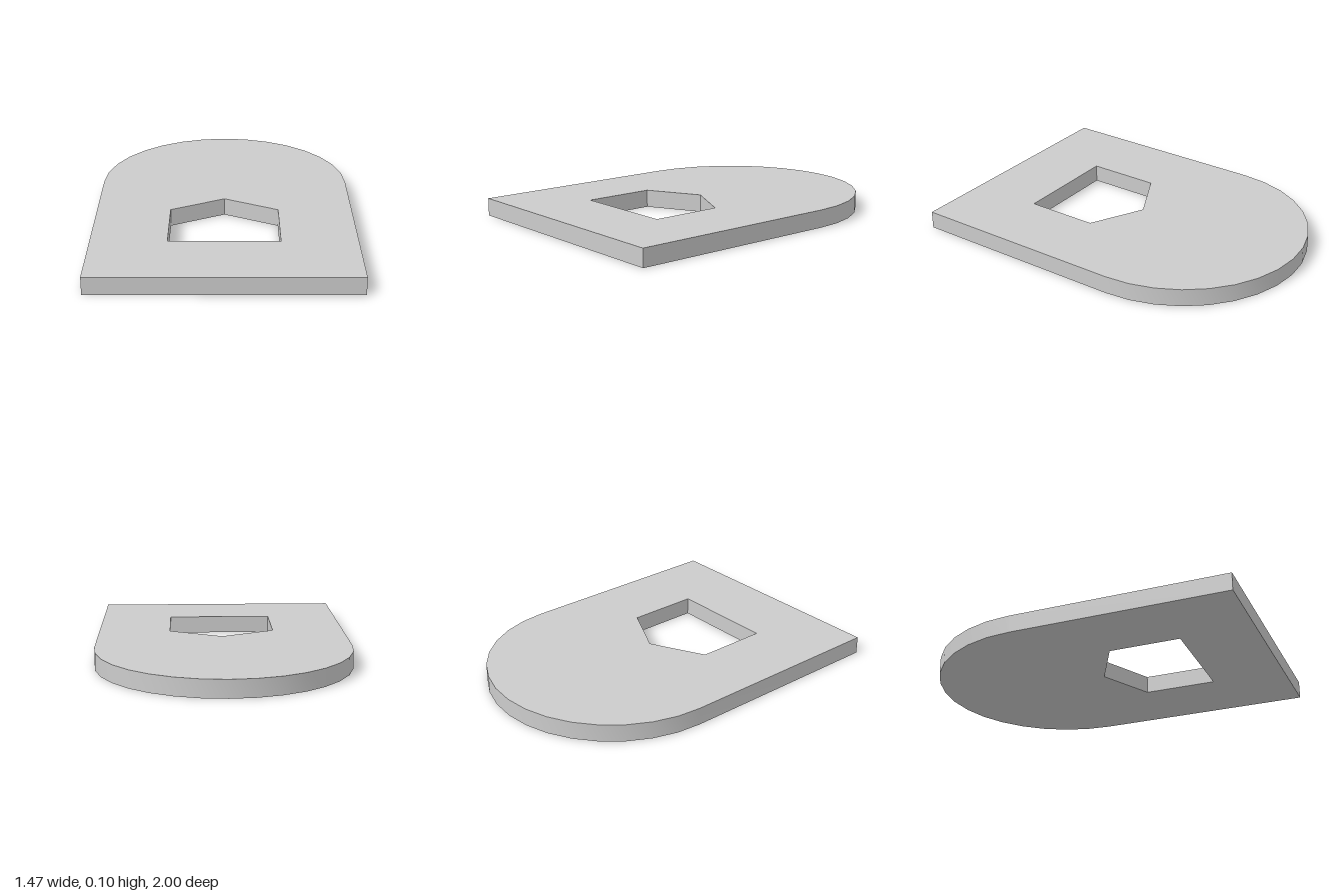
import * as THREE from 'three';
import { toCreasedNormals } from 'three/addons/utils/BufferGeometryUtils.js';

const HALF_WIDTH = 0.735;
const THICKNESS = 0.102;

export function createModel() {
  const group = new THREE.Group();
  group.name = 'archedPlate';

  // Plate outline: square front edge, half-round back (shape y becomes -z)
  const outline = new THREE.Shape();
  outline.moveTo(-HALF_WIDTH, -1);
  outline.lineTo(HALF_WIDTH, -1);
  outline.lineTo(HALF_WIDTH, 1 - HALF_WIDTH);
  outline.absarc(0, 1 - HALF_WIDTH, HALF_WIDTH, 0, Math.PI, false);
  outline.closePath();

  // House-shaped cutout
  const cutout = new THREE.Path();
  cutout.moveTo(-0.31, -0.575);
  cutout.lineTo(-0.31, -0.157);
  cutout.lineTo(0, 0);
  cutout.lineTo(0.31, -0.157);
  cutout.lineTo(0.31, -0.575);
  cutout.closePath();
  outline.holes.push(cutout);

  // The arc gets 16 sides, smoothed across; all other edges stay sharp
  const extruded = new THREE.ExtrudeGeometry(outline, {
    depth: THICKNESS,
    bevelEnabled: false,
    curveSegments: 8,
  });
  extruded.rotateX(-Math.PI / 2);

  const plate = new THREE.Mesh(
    toCreasedNormals(extruded, 0.5),
    new THREE.MeshStandardMaterial({ color: 0xcccccc })
  );
  plate.name = 'plate';
  group.add(plate);
  return group;
}
